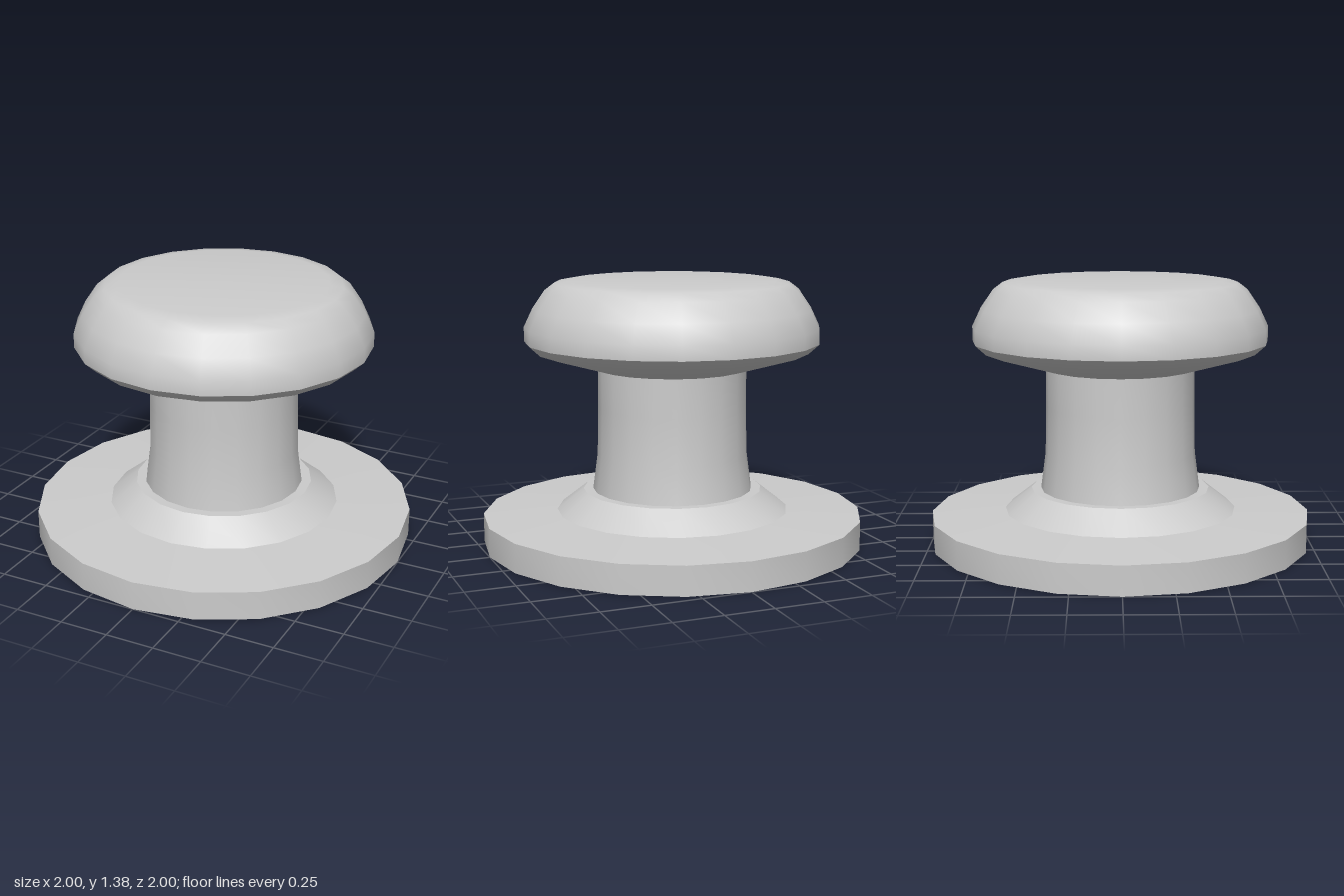
import * as THREE from 'three';
import { toCreasedNormals } from 'three/addons/utils/BufferGeometryUtils.js';

const SIDES = 20;

// Turned part from a [radius, height] profile, listed bottom to top
function turned(name, profile, material) {
  const points = profile.map(([r, y]) => new THREE.Vector2(r, y));
  const geometry = toCreasedNormals(new THREE.LatheGeometry(points, SIDES), 0.56);
  const mesh = new THREE.Mesh(geometry, material);
  mesh.name = name;
  return mesh;
}

export function createModel() {
  const group = new THREE.Group();
  group.name = 'knob';
  const grey = new THREE.MeshStandardMaterial({ color: 0xcccccc });

  group.add(
    // Wide mounting disc with a slightly raised top
    turned('basePlate', [[0, 0], [1, 0], [1, 0.15], [0.61, 0.17]], grey),
    // Sloped ring around the foot of the stem
    turned('collar', [[0.61, 0.17], [0.47, 0.28], [0.42, 0.28]], grey),
    // Stem, flared at the foot
    turned('stem', [[0.42, 0.28], [0.395, 0.47], [0.39, 0.72], [0.39, 0.92]], grey),
    // Grip with a conical underside and a rounded, flat top
    turned('grip', [
      [0.39, 0.92], [0.715, 1.015], [0.77, 1.065], [0.77, 1.14], [0.725, 1.235],
      [0.66, 1.33], [0.61, 1.368], [0.54, 1.38], [0, 1.38],
    ], grey),
  );
  return group;
}
